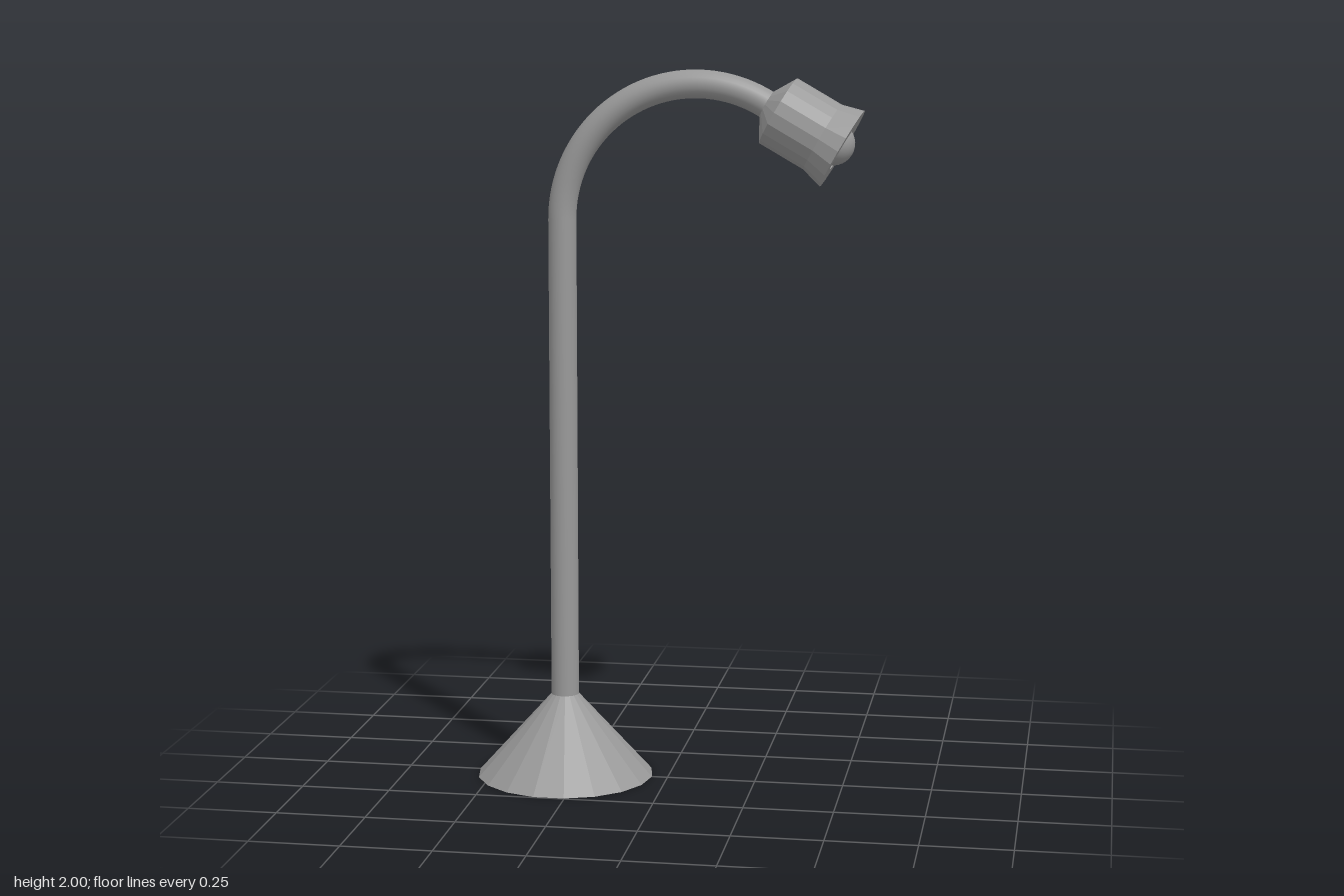
import * as THREE from 'three';

const smooth = new THREE.MeshStandardMaterial({ color: 0x999999 });
const faceted = new THREE.MeshStandardMaterial({ color: 0x999999, flatShading: true });

const POLE_X = -0.295, TUBE_R = 0.039;
const BASE_H = 0.235, ARC_Y = 1.587, ARC_R = 0.374, ARC_X = POLE_X + ARC_R;

function addPart(parent, name, geometry, material) {
  const mesh = new THREE.Mesh(geometry, material);
  mesh.name = name;
  parent.add(mesh);
  return mesh;
}

export function createModel() {
  const lamp = new THREE.Group();
  lamp.name = 'streetLamp';

  // Conical foot with a corner pointing along x
  const base = addPart(lamp, 'base',
    new THREE.CylinderGeometry(TUBE_R, 0.25, BASE_H, 18).rotateY(Math.PI / 2), faceted);
  base.position.set(POLE_X, BASE_H / 2, 0);

  // Straight pole
  const poleH = ARC_Y - BASE_H;
  const pole = addPart(lamp, 'pole',
    new THREE.CylinderGeometry(TUBE_R, TUBE_R, poleH, 24, 1, true), smooth);
  pole.position.set(POLE_X, BASE_H + poleH / 2, 0);

  // Curved neck: 120 degree arc, ending 30 degrees below level
  const arc = new THREE.TorusGeometry(ARC_R, TUBE_R, 24, 40, Math.PI * 2 / 3 + 0.04)
    .rotateZ(Math.PI / 3 - 0.04);
  addPart(lamp, 'neck', arc, smooth).position.set(ARC_X, ARC_Y, 0);

  // Lamp head, built along +y and then tilted to follow the neck
  const head = new THREE.Group();
  head.name = 'head';
  head.position.set(0.305, 1.89, 0);
  head.rotation.z = -Math.PI * 2 / 3;
  lamp.add(head);

  // Sloped back, straight barrel, flared rim, front ring and bulb socket
  const profile = [
    [0, -0.037], [TUBE_R, -0.037], [0.102, 0], [0.102, 0.14], [0.119, 0.202],
    [0.065, 0.202], [0.065, 0.165], [0, 0.165],
  ].map(([r, y]) => new THREE.Vector2(r, y));
  addPart(head, 'shade', new THREE.LatheGeometry(profile, 18), faceted);

  // Bulb sitting in the socket
  addPart(head, 'bulb', new THREE.SphereGeometry(0.06, 24, 16), smooth).position.y = 0.173;

  return lamp;
}
